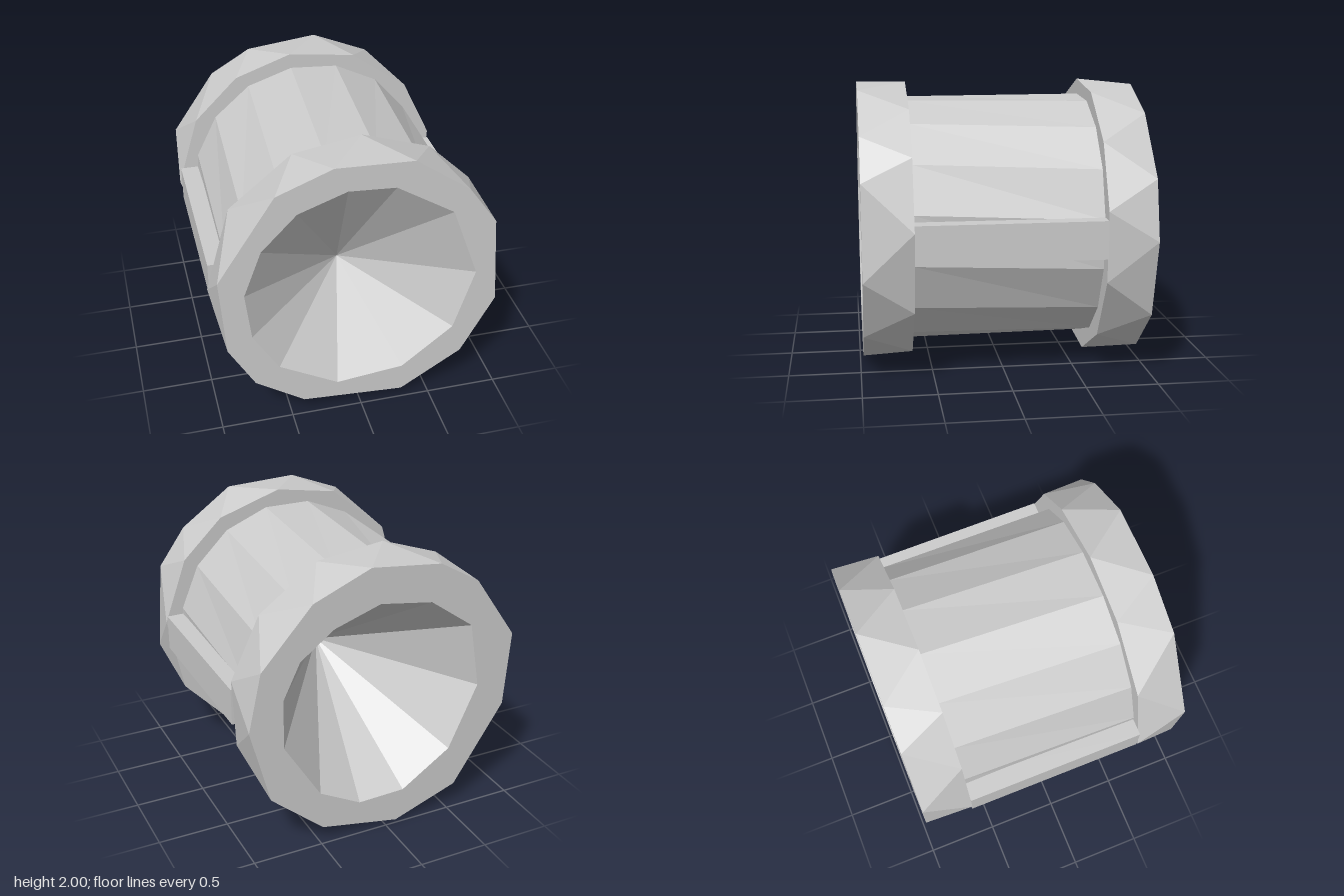
import * as THREE from 'three';

const END = 0.98, STEP = 0.64, CORE_R = 0.88;

function mat() {
  return new THREE.MeshStandardMaterial({ color: 0xcccccc, flatShading: true });
}

function mesh(name, geometry) {
  const m = new THREE.Mesh(geometry, mat());
  m.name = name;
  return m;
}

// flat faceted geometry from a list of triangles
function facets(triangles) {
  const g = new THREE.BufferGeometry().setFromPoints(triangles.flat());
  g.computeVertexNormals();
  return g;
}

function flatRing(outer, hole) {
  const shape = new THREE.Shape(outer);
  shape.holes.push(new THREE.Path(hole));
  return new THREE.ShapeGeometry(shape);
}

const points = list => list.map(([x, y]) => new THREE.Vector2(x, y));
const lift = (p, z) => new THREE.Vector3(p.x, p.y, z);
const circle = (r, n, turn = 0) => Array.from({ length: n }, (_, i) => {
  const a = i / n * Math.PI * 2 + turn;
  return new THREE.Vector2(r * Math.cos(a), r * Math.sin(a));
});

// one rim, facing +z: faceted band, flat lip, conical recess and step wall
function rim(name, outerList, holeList, apex) {
  const group = new THREE.Group();
  group.name = name;
  const outer = points(outerList), hole = points(holeList), n = outer.length;
  const inner = outer.map((p, i) => p.clone().add(outer[(i + 1) % n]).normalize());

  const band = [];
  for (let i = 0; i < n; i++) {
    const j = (i + 1) % n;
    const a = lift(outer[i], END), a2 = lift(outer[j], END);
    const b = lift(inner[i], STEP), b2 = lift(inner[j], STEP);
    band.push([a, b, a2], [a2, b, b2]);
  }
  group.add(mesh('rimBand', facets(band)));

  const lip = mesh('rimLip', flatRing(outer, hole));
  lip.position.z = END;
  group.add(lip);

  const cone = hole.map((p, i) => [lift(p, END), lift(hole[(i + 1) % hole.length], END), apex]);
  group.add(mesh('conicalRecess', facets(cone)));

  const wall = mesh('rimStepWall', flatRing(inner, circle(0.84, 16)));
  wall.material.side = THREE.DoubleSide;
  wall.position.z = STEP;
  group.add(wall);
  return group;
}

export function createModel() {
  const model = new THREE.Group();
  model.name = 'spool';
  const body = new THREE.Group();
  body.name = 'body';
  body.position.y = 1;
  model.add(body);

  body.add(rim('frontRim',
    [[0.96, -0.24], [0.91, 0.41], [0.71, 0.69], [0.33, 0.96], [-0.2, 0.98], [-0.58, 0.83],
      [-0.97, 0.23], [-0.93, -0.34], [-0.75, -0.66], [-0.41, -0.89], [0.3, -0.94], [0.73, -0.67]],
    [[0.8, 0.01], [0.61, 0.53], [0.21, 0.78], [-0.11, 0.8], [-0.44, 0.68], [-0.68, 0.43],
      [-0.8, 0.1], [-0.76, -0.25], [-0.58, -0.55], [-0.17, -0.78], [0.3, -0.73], [0.66, -0.44]],
    new THREE.Vector3(-0.04, -0.09, 0.43)));

  const backRim = rim('backRim',
    [[0.97, 0.29], [0.66, 0.74], [0.37, 0.91], [-0.14, 0.97], [-0.55, 0.8], [-0.91, 0.4],
      [-1, -0.01], [-0.86, -0.55], [-0.48, -0.88], [0.09, -0.99], [0.56, -0.82], [0.93, -0.25]],
    [[0.71, -0.05], [0.63, 0.42], [0.31, 0.65], [-0.07, 0.71], [-0.4, 0.6], [-0.64, 0.42],
      [-0.76, 0.17], [-0.76, -0.18], [-0.5, -0.6], [-0.2, -0.76], [0.14, -0.75], [0.5, -0.51]],
    new THREE.Vector3(0, -0.03, -0.14));
  backRim.rotation.y = Math.PI;
  body.add(backRim);

  // faceted barrel between the rims, slightly twisted
  const front = circle(CORE_R, 16, 0.2), back = circle(CORE_R, 16, 0.13);
  const barrel = [];
  front.forEach((p, i) => {
    const j = (i + 1) % front.length;
    const a = lift(p, STEP), a2 = lift(front[j], STEP);
    const b = lift(back[i], -STEP), b2 = lift(back[j], -STEP);
    barrel.push([a, b, a2], [a2, b, b2]);
  });
  const core = mesh('barrel', facets(barrel));
  core.position.y = 0.01;
  body.add(core);

  // side ribs flush with the rims
  for (const side of [1, -1]) {
    const rib = mesh(side > 0 ? 'leftRib' : 'rightRib', new THREE.BoxGeometry(0.19, 0.26, STEP * 2));
    rib.position.set(side * 0.89, 0.01, 0);
    body.add(rib);
  }
  return model;
}
